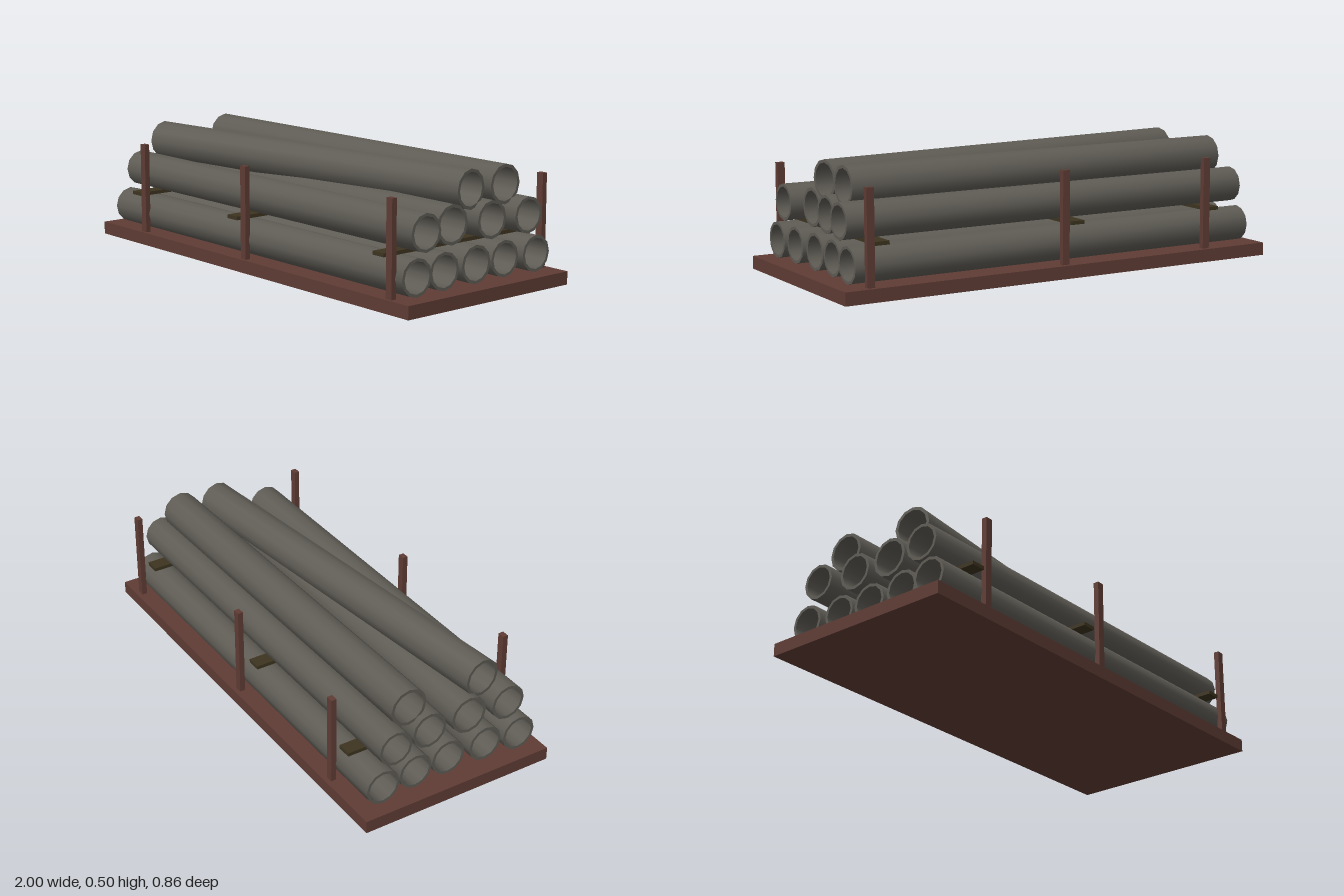
import * as THREE from 'three';
import { toCreasedNormals } from 'three/addons/utils/BufferGeometryUtils.js';

const makeMaterial = (name, color) => {
  const m = new THREE.MeshStandardMaterial({ color });
  m.name = name;
  return m;
};

export function createModel() {
  const rust = makeMaterial('rust red paint', 0x5f3c34);
  const steel = makeMaterial('dull grey steel', 0x5f5c55);
  const wood = makeMaterial('dark timber', 0x3d3420);
  const model = new THREE.Group();
  model.name = 'pipeRack';

  const box = (name, material, [w, h, d], [x, y, z]) => {
    const mesh = new THREE.Mesh(new THREE.BoxGeometry(w, h, d), material);
    mesh.name = name;
    mesh.position.set(x, y, z);
    model.add(mesh);
  };

  // Hollow twelve-sided pipe running from (x0, z0) to (x1, z1) at height y
  const pipe = (name, r, y, x0, z0, x1, z1) => {
    const half = Math.hypot(x1 - x0, z1 - z0) / 2;
    const inner = r * 0.84;
    const profile = [[r, -half], [r, half], [inner, half], [inner, -half], [r, -half]]
      .map(([a, b]) => new THREE.Vector2(a, b));
    const geometry = toCreasedNormals(new THREE.LatheGeometry(profile, 12), 0.8);
    geometry.rotateZ(-Math.PI / 2);
    const mesh = new THREE.Mesh(geometry, steel);
    mesh.name = name;
    mesh.position.set((x0 + x1) / 2, y, (z0 + z1) / 2);
    mesh.rotation.y = -Math.atan2(z1 - z0, x1 - x0);
    model.add(mesh);
  };

  // Base slab
  box('base', rust, [2, 0.054, 0.862], [0, 0.027, 0]);

  // Upright stakes along both long sides
  for (const x of [-0.705, 0, 0.88]) {
    for (const z of [0.408, -0.4]) {
      box('stake', rust, [0.032, 0.39, 0.023], [x, 0.245, z]);
    }
  }

  // Timber spacers between the two layers
  for (const x of [-0.76, -0.077, 0.815]) {
    box('spacer', wood, [0.063, 0.015, 0.795], [x, 0.216, 0.018]);
  }

  // Bottom layer: radius, z, x start, x end
  [
    [0.076, 0.327, -0.94, 0.935],
    [0.0765, 0.175, -0.925, 0.925],
    [0.0775, 0.001, -0.92, 0.92],
    [0.075, -0.156, -0.925, 0.92],
    [0.075, -0.316, -0.94, 0.935],
  ].forEach(([r, z, x0, x1]) => pipe('bottomPipe', r, 0.132, x0, z, x1, z));

  // Middle layer
  [
    [0.0765, 0.274, -0.928, 0.928],
    [0.081, 0.096, -0.915, 0.885],
    [0.0775, -0.089, -0.915, 0.913],
    [0.0745, -0.262, -0.942, 0.942],
  ].forEach(([r, z, x0, x1]) => pipe('middlePipe', r, 0.295, x0, z, x1, z));

  // Two loose pipes on top, lying askew
  pipe('topPipe', 0.081, 0.419, -0.879, 0.178, 0.877, -0.008);
  pipe('topPipe', 0.081, 0.419, -0.888, -0.171, 0.884, -0.188);

  return model;
}
